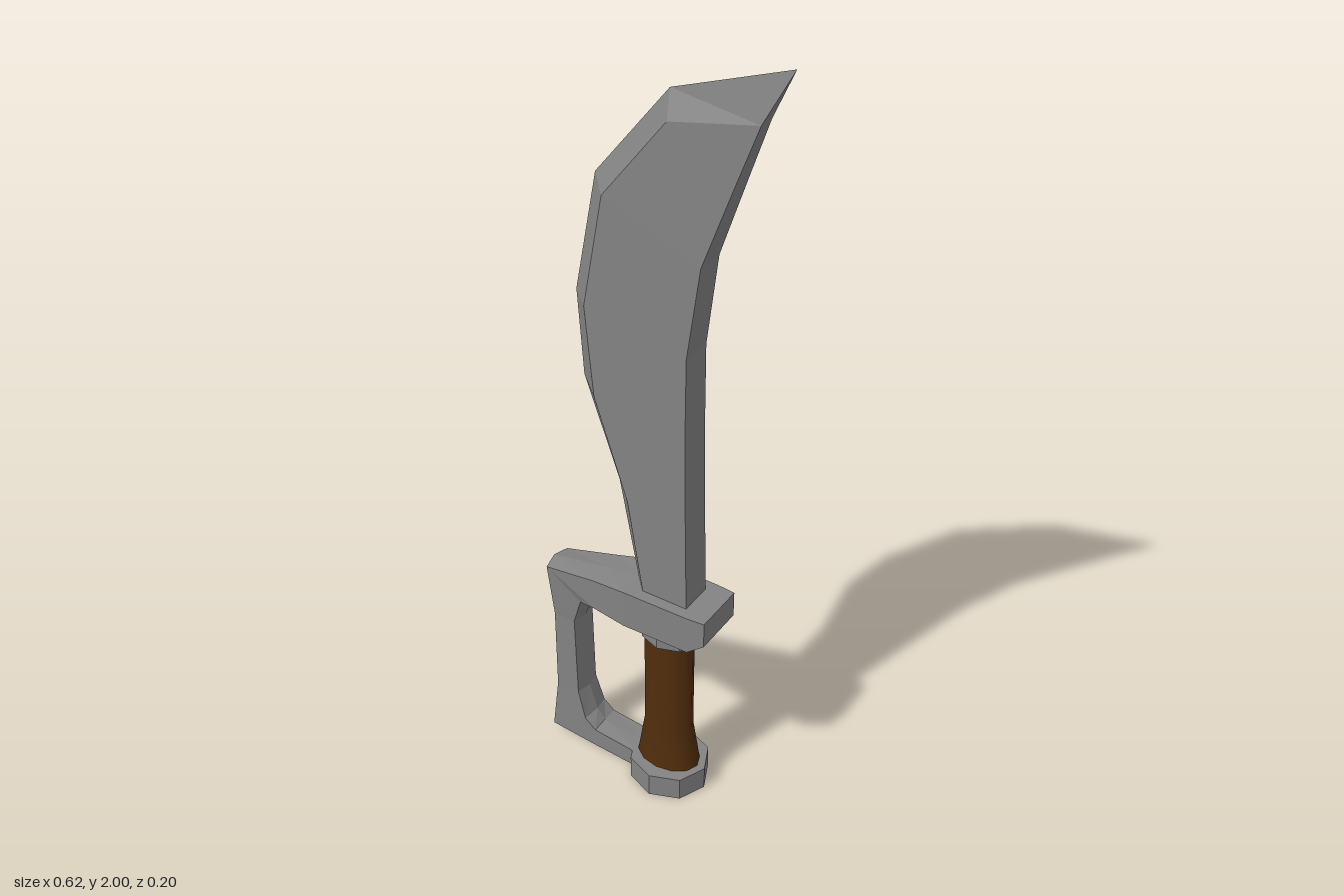
import * as THREE from 'three';

const steel = new THREE.MeshStandardMaterial({ color: 0x838383 });
steel.name = 'steel';
const leather = new THREE.MeshStandardMaterial({ color: 0x512d0c });
leather.name = 'brown leather';

// Give every face its own normals
function facet(geometry) {
  const g = geometry.index ? geometry.toNonIndexed() : geometry;
  g.computeVertexNormals();
  return g;
}

// Skin a list of equal-length rings and close both ends
function loft(rings) {
  const n = rings[0].length, index = [];
  for (let i = 0; i < rings.length - 1; i++) {
    for (let j = 0; j < n; j++) {
      const a = i * n + j, b = i * n + (j + 1) % n;
      index.push(a, b, b + n, a, b + n, a + n);
    }
  }
  const last = (rings.length - 1) * n;
  for (let j = 1; j < n - 1; j++) {
    index.push(0, j + 1, j, last, last + j, last + j + 1);
  }
  const g = new THREE.BufferGeometry();
  g.setAttribute('position', new THREE.Float32BufferAttribute(rings.flat(2), 3));
  g.setIndex(index);
  return facet(g);
}

function addMesh(group, name, geometry, material) {
  const mesh = new THREE.Mesh(geometry, material);
  mesh.name = name;
  group.add(mesh);
  return mesh;
}

// Eight-sided band around the grip axis
function octagonBand(rx, rz, y0, y1) {
  const g = new THREE.CylinderGeometry(1, 1, y1 - y0, 8);
  g.scale(rx, 1, rz).translate(0.038, (y0 + y1) / 2, 0);
  return facet(g);
}

export function createModel() {
  const sword = new THREE.Group();
  sword.name = 'sword';

  // Blade sections: cutting edge x y, bevel x y, spine x y, half thickness
  const bladeSections = [
    [-0.05, 0.6, -0.01, 0.6, 0.11, 0.6, 0.044],
    [-0.105, 0.89, -0.055, 0.87, 0.103, 0.92, 0.043],
    [-0.198, 1.15, -0.143, 1.13, 0.1, 1.13, 0.042],
    [-0.213, 1.37, -0.165, 1.36, 0.1, 1.31, 0.041],
    [-0.155, 1.67, -0.115, 1.64, 0.13, 1.54, 0.037],
    [0.03, 1.9, 0.04, 1.84, 0.2, 1.74, 0.028],
    [0.31, 2, 0.25, 1.88, 0.25, 1.88, 0.021],
  ];
  addMesh(sword, 'blade', loft(bladeSections.map(([ex, ey, bx, by, sx, sy, t]) => [
    [ex, ey, 0], [bx, by, t], [sx, sy, t], [sx, sy, -t], [bx, by, -t],
  ])), steel);

  // Guard sections: outer x y, inner x y, half depth, ridge height
  const guardSections = [
    [0.175, 0.62, 0.175, 0.55, 0.069, 0],
    [0.13, 0.62, 0.13, 0.515, 0.073, 0],
    [-0.05, 0.62, -0.05, 0.515, 0.075, 0],
    [-0.15, 0.6, -0.15, 0.513, 0.059, 0.004],
    [-0.3, 0.567, -0.2, 0.497, 0.044, 0.01],
    [-0.284, 0.42, -0.224, 0.42, 0.04, 0.008],
    [-0.284, 0.18, -0.219, 0.18, 0.04, 0.008],
    [-0.3, 0.03, -0.196, 0.1, 0.044, 0.01],
    [-0.18, 0.02, -0.165, 0.074, 0.044, 0.004],
    [-0.02, 0.01, -0.02, 0.06, 0.044, 0],
  ];
  addMesh(sword, 'knuckleGuard', loft(guardSections.map(([ox, oy, ix, iy, d, r]) => {
    const len = Math.hypot(ox - ix, oy - iy);
    const rx = (ox - ix) / len * r, ry = (oy - iy) / len * r;
    return [
      [ox, oy, d], [ox + rx, oy + ry, 0], [ox, oy, -d],
      [ix, iy, -d], [ix - rx, iy - ry, 0], [ix, iy, d],
    ];
  })), steel);

  // Collar and pommel
  addMesh(sword, 'collar', octagonBand(0.076, 0.062, 0.475, 0.53), steel);
  addMesh(sword, 'pommel', octagonBand(0.106, 0.098, 0, 0.066), steel);

  // Smooth oval grip flaring toward the pommel
  const gripProfile = [[1.3, 0.06], [1.0, 0.19], [1.0, 0.48]]
    .map(([r, y]) => new THREE.Vector2(r, y));
  const grip = new THREE.LatheGeometry(gripProfile, 12);
  grip.scale(0.067, 1, 0.047).translate(0.036, 0, 0);
  addMesh(sword, 'grip', grip, leather);

  return sword;
}
